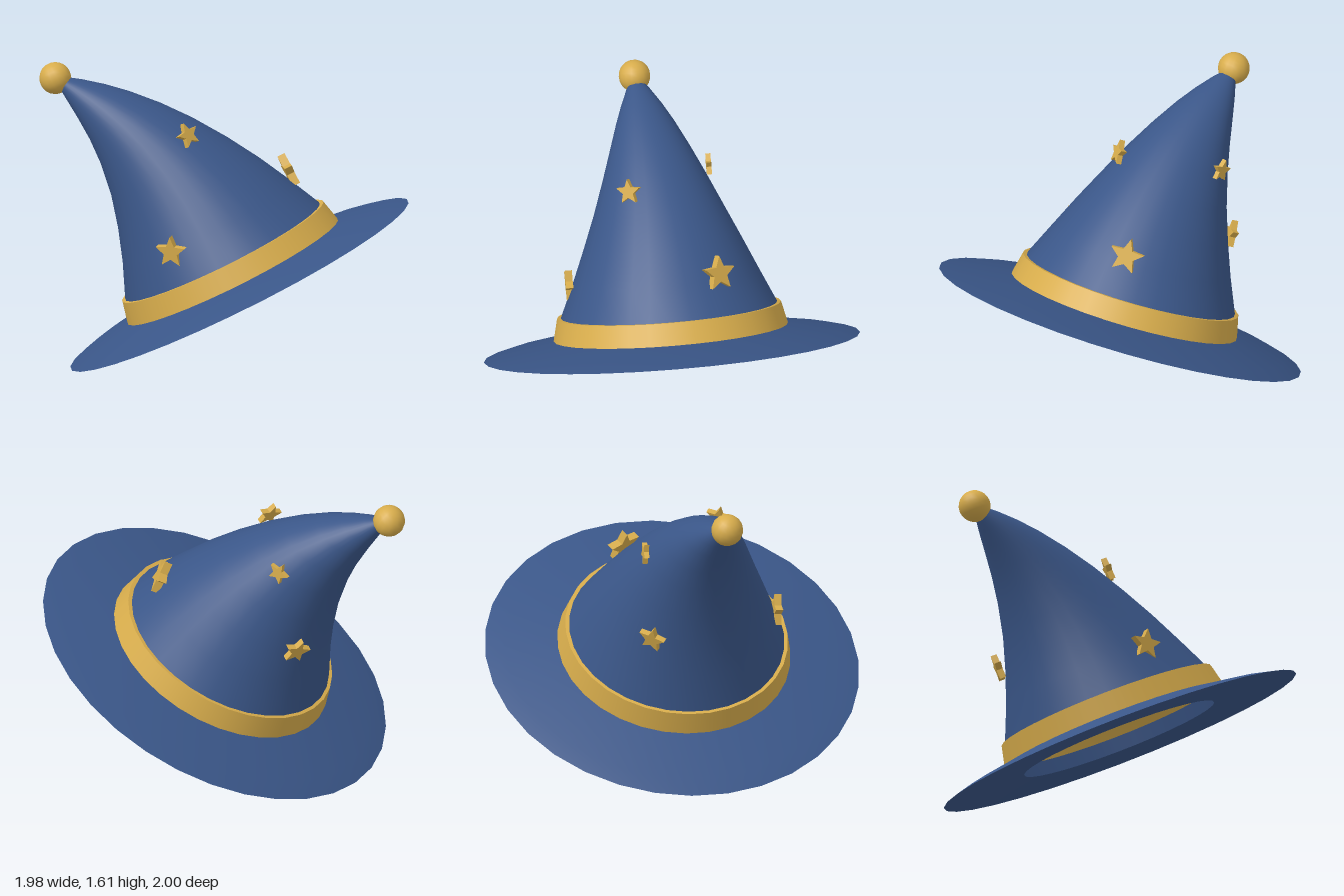
import * as THREE from 'three';
import { mergeVertices } from 'three/addons/utils/BufferGeometryUtils.js';

const SEGMENTS = 32;

export function createModel() {
  const blue = new THREE.MeshStandardMaterial({ color: 0x3a5688, side: THREE.DoubleSide });
  blue.name = 'blue felt';
  const gold = new THREE.MeshStandardMaterial({ color: 0xd8ad4c, side: THREE.DoubleSide });
  gold.name = 'gold';

  const hat = new THREE.Group();
  hat.name = 'hat';
  const add = (name, geometry, material, parent = hat) => {
    const mesh = new THREE.Mesh(geometry, material);
    mesh.name = name;
    parent.add(mesh);
    return mesh;
  };
  const lathe = (points) =>
    new THREE.LatheGeometry(points.map(([r, y]) => new THREE.Vector2(r, y)), SEGMENTS);

  // Sideways lean of the crown at height y
  const lean = (y) => -0.139 * y ** 3;

  // Brim: separate surfaces keep the thin rim sharp
  const brim = new THREE.Group();
  brim.name = 'brim';
  hat.add(brim);
  add('brimTop', lathe([[1, 0], [0.9, 0.028], [0.75, 0.056], [0.63, 0.08], [0.55, 0.09]]), blue, brim);
  add('brimUnderside', lathe([[0.54, 0.012], [0.8, 0.008], [1, 0]]), blue, brim);
  add('brimInnerWall', lathe([[0.55, 0.09], [0.54, 0.012]]), blue, brim);

  // Crown: an open cone sheared along a cubic curve
  const profile = [[0.582, 0.185], [0.495, 0.38], [0.42, 0.555], [0.345, 0.73], [0.273, 0.905],
    [0.212, 1.05], [0.154, 1.18], [0.108, 1.27], [0.063, 1.345], [0.03, 1.39]];
  let crown = lathe(profile);
  const pos = crown.attributes.position;
  for (let i = 0; i < pos.count; i++) pos.setX(i, pos.getX(i) + lean(pos.getY(i)));
  crown.deleteAttribute('uv');
  crown.deleteAttribute('normal');
  crown = mergeVertices(crown, 1e-4);
  crown.computeVertexNormals();
  add('crown', crown, blue);

  // Band around the foot of the crown
  const band = new THREE.Group();
  band.name = 'band';
  hat.add(band);
  add('bandOuter', lathe([[0.625, 0.072], [0.595, 0.2]]), gold, band);
  add('bandRim', lathe([[0.595, 0.2], [0.572, 0.2]]), gold, band);
  add('bandInner', lathe([[0.572, 0.2], [0.588, 0.183], [0.61, 0.085]]), gold, band);

  // Ball at the tip
  add('tipBall', new THREE.SphereGeometry(0.085, 16, 12), gold).position.set(-0.402, 1.412, 0);

  // Stars: [angle in degrees, height, distance from crown axis, size, roll]
  const stars = [
    [100, 0.38, 0.515, 0.086, -0.45],
    [37, 0.87, 0.335, 0.068, 0],
    [-21, 0.423, 0.515, 0.095, 0],
    [-80, 0.94, 0.295, 0.06, 0],
    [-138, 0.586, 0.445, 0.075, 0],
  ];
  for (const [degrees, y, distance, size, roll] of stars) {
    const outline = [];
    for (let i = 0; i < 10; i++) {
      const a = Math.PI / 2 + (i * Math.PI) / 5;
      const r = i % 2 ? size * 0.45 : size;
      outline.push(new THREE.Vector2(r * Math.cos(a), r * Math.sin(a)));
    }
    const depth = size * 0.45;
    const geometry = new THREE.ExtrudeGeometry(new THREE.Shape(outline), { depth, bevelEnabled: false });
    geometry.translate(0, 0, -depth / 2);
    const angle = THREE.MathUtils.degToRad(degrees);
    const star = add('star', geometry, gold);
    star.position.set(lean(y) + distance * Math.cos(angle), y, distance * Math.sin(angle));
    star.rotation.set(0, Math.PI / 2 - angle, roll);
  }

  // Tilt the whole hat so it rests on one edge of the brim
  hat.rotation.set(-0.031, 0, 0.476, 'ZYX');
  hat.position.set(0.1, 0.46, 0);

  const model = new THREE.Group();
  model.name = 'pointedHat';
  model.add(hat);
  return model;
}
